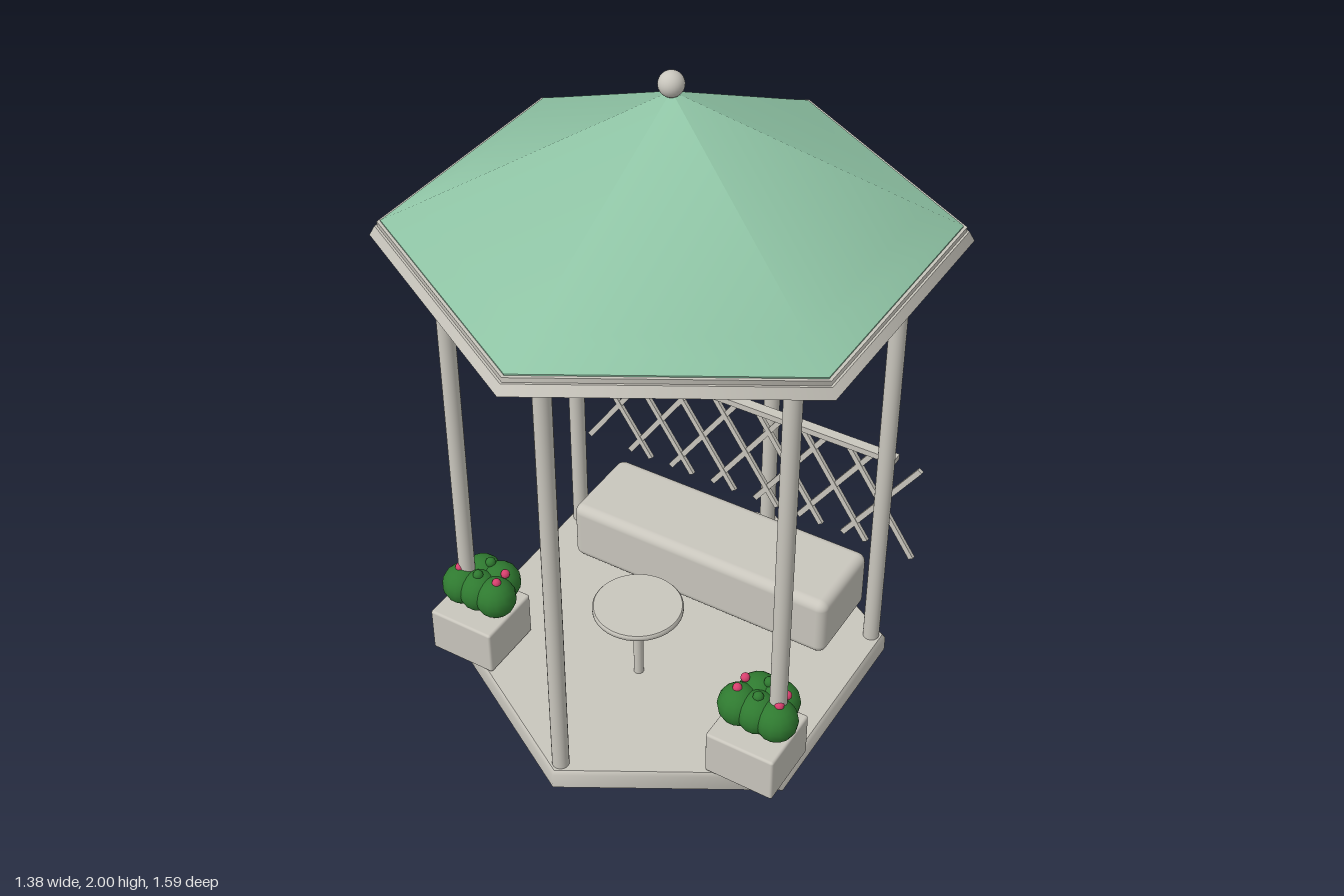
import * as THREE from 'three';
import { RoundedBoxGeometry } from 'three/addons/geometries/RoundedBoxGeometry.js';

const mat = (name, color) => new THREE.MeshStandardMaterial({ name, color });

export function createModel() {
  const stone = mat('pale stone', 0xc9c6bd);
  const copper = mat('roof green', 0x8fc4a5);
  const leaf = mat('leaf green', 0x2f7a30);
  const pink = mat('blossom pink', 0xd8406f);

  const model = new THREE.Group();
  model.name = 'gazebo';

  const add = (parent, name, geometry, material, x = 0, y = 0, z = 0) => {
    const mesh = new THREE.Mesh(geometry, material);
    mesh.name = name;
    mesh.position.set(x, y, z);
    parent.add(mesh);
    return mesh;
  };
  const group = (name, x = 0, y = 0, z = 0) => {
    const g = new THREE.Group();
    g.name = name;
    g.position.set(x, y, z);
    model.add(g);
    return g;
  };
  // Turned profile, points from bottom to top; repeated points make a crease
  const turned = (points, sides) =>
    new THREE.LatheGeometry(points.map(([r, y]) => new THREE.Vector2(r, y)), sides);

  // Hexagonal floor
  add(model, 'floor', turned([
    [0, 0], [0.66, 0], [0.66, 0], [0.66, 0.05], [0.65, 0.062], [0.65, 0.062], [0, 0.062],
  ], 6), stone);

  // Six round posts at the corners
  for (let i = 0; i < 6; i++) {
    const a = (i * Math.PI) / 3;
    add(model, 'post', new THREE.CylinderGeometry(0.025, 0.025, 1.46, 20), stone,
      0.615 * Math.sin(a), 0.785, 0.615 * Math.cos(a));
  }

  // Ceiling with a stepped eave, roof and finial
  add(model, 'eave', turned([
    [0, 1.51], [0.795, 1.51], [0.795, 1.51], [0.779, 1.538], [0.779, 1.538],
    [0.772, 1.538], [0.772, 1.538], [0.772, 1.552], [0.772, 1.552], [0.74, 1.552],
  ], 6), stone);
  add(model, 'roof', turned([[0.762, 1.548], [0.762, 1.556], [0.762, 1.556], [0.66, 1.607], [0, 1.945]], 6), copper);
  add(model, 'finial', new THREE.SphereGeometry(0.035, 24, 16), stone, 0, 1.965, 0);

  // Bench
  add(model, 'bench', new RoundedBoxGeometry(0.9, 0.205, 0.29, 4, 0.03), stone, 0, 0.167, -0.285);

  // Round table
  const table = group('table', 0, 0, 0.19);
  add(table, 'tableTop', turned([
    [0, 0.312], [0.125, 0.312], [0.135, 0.32], [0.135, 0.33], [0.131, 0.335], [0.131, 0.335], [0, 0.335],
  ], 40), stone);
  add(table, 'tableLeg', new THREE.CylinderGeometry(0.015, 0.015, 0.26, 16), stone, 0, 0.185, 0);

  // Lattice back rail made of crossed slats
  const lattice = group('lattice', 0, 0, -0.453);
  add(lattice, 'topRail', new THREE.BoxGeometry(1.01, 0.02, 0.034), stone, 0, 0.645, 0);
  const dx = 0.235, dy = 0.345;
  for (let i = -3; i <= 3; i++) {
    for (const s of [-1, 1]) {
      const slat = add(lattice, 'slat', new THREE.BoxGeometry(0.017, Math.hypot(dx, dy), 0.012), stone,
        i * 0.155, 0.463, s * 0.001);
      slat.rotation.z = s * Math.atan2(dx, dy);
    }
  }

  // Planters with a clipped bush and blossoms, mirrored left and right
  const lobes = [[-0.06, 0], [0, 0], [0.06, 0], [-0.032, -0.065], [0.032, -0.065]];
  for (const side of [-1, 1]) {
    const planter = group(side > 0 ? 'leftPlanter' : 'rightPlanter', side * 0.478, 0, 0.325);
    add(planter, 'planterBox', new RoundedBoxGeometry(0.217, 0.15, 0.213, 2, 0.008), stone, 0, 0.142, 0);
    for (const [x, z] of lobes) {
      add(planter, 'bushLobe', new THREE.SphereGeometry(0.063, 14, 10), leaf, x, 0.27, z);
    }
    for (const z of [0, -0.065]) {
      add(planter, 'bud', new THREE.SphereGeometry(0.016, 10, 8), leaf, 0, 0.332, z);
      for (const x of [-0.067, 0.067]) {
        add(planter, 'blossom', new THREE.SphereGeometry(0.014, 10, 8), pink, x, 0.332, z * 0.7);
      }
    }
  }

  return model;
}
